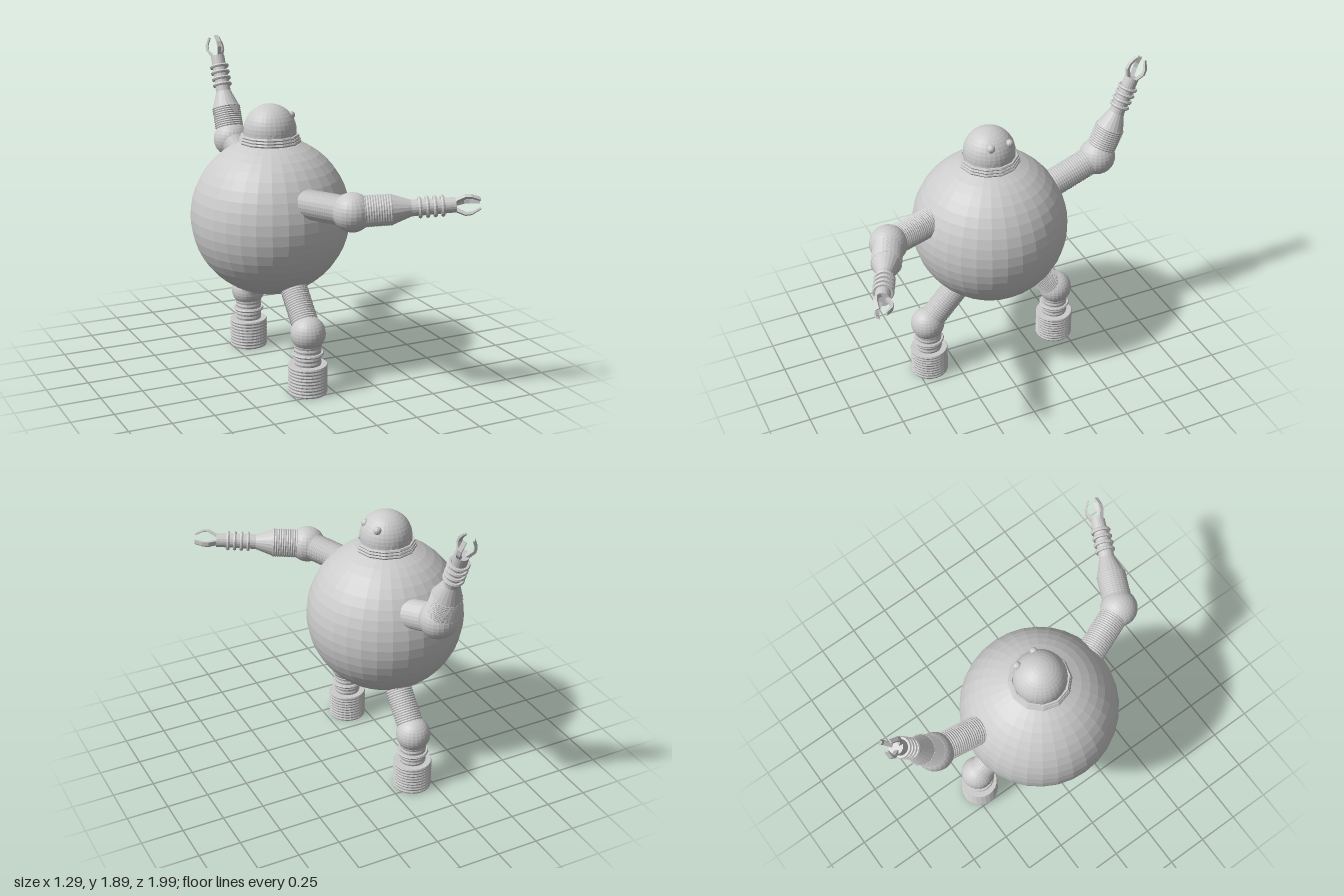
import * as THREE from 'three';

const V = (x, y, z) => new THREE.Vector3(x, y, z);
const flat = new THREE.MeshStandardMaterial({ color: 0xcccccc, flatShading: true, side: THREE.DoubleSide });

function add(parent, name, geometry, position = V(0, 0, 0)) {
  const mesh = new THREE.Mesh(geometry, flat);
  mesh.name = name;
  mesh.position.copy(position);
  parent.add(mesh);
  return mesh;
}

const ball = (r, w = 24, h = 16) => new THREE.SphereGeometry(r, w, h);

// closed, finely ridged tube standing on y = 0
function ribbed(r, length, pitch = 0.014, depth = 0.004, sides = 24) {
  const points = [new THREE.Vector2(0, 0)];
  const n = Math.round(length / pitch);
  for (let i = 0; i <= n; i++) {
    const y = (i / n) * length;
    points.push(new THREE.Vector2(r - depth, y));
    if (i < n) points.push(new THREE.Vector2(r, y + (0.5 * length) / n));
  }
  points.push(new THREE.Vector2(0, length));
  return new THREE.LatheGeometry(points, sides);
}

// group whose y axis runs from one point towards another, z axis near "facing"
function along(name, from, to, facing) {
  const group = new THREE.Group();
  group.name = name;
  const y = to.clone().sub(from).normalize();
  const x = y.clone().cross(facing).normalize();
  const z = x.clone().cross(y);
  group.quaternion.setFromRotationMatrix(new THREE.Matrix4().makeBasis(x, y, z));
  group.position.copy(from);
  return group;
}

function ring(parent, name, r, tube, y, sides = 20) {
  add(parent, name, new THREE.TorusGeometry(r, tube, 6, sides), V(0, y, 0)).rotation.x = Math.PI / 2;
}

// hooked finger: profile in (outward, along), extruded to a flat bar
function fingerGeometry() {
  const outline = [[0.015, 0], [0.038, 0], [0.064, 0.05], [0.062, 0.085], [0.035, 0.135],
    [0.027, 0.13], [0.048, 0.083], [0.048, 0.055]].map(p => new THREE.Vector2(...p));
  const g = new THREE.ExtrudeGeometry(new THREE.Shape(outline), { depth: 0.024, bevelEnabled: false });
  return g.translate(0, 0, -0.012).rotateY(-Math.PI / 2);
}

function makeArm(name, shoulder, elbow, tip, thumb) {
  const arm = new THREE.Group();
  arm.name = name;
  const upper = along('upperArm', shoulder, elbow, thumb);
  add(upper, 'upperArmHose', ribbed(0.085, shoulder.distanceTo(elbow)));
  add(arm, 'elbow', ball(0.11), elbow);

  const fore = along('forearm', elbow, tip, thumb);
  const reach = elbow.distanceTo(tip);
  fore.scale.y = reach / 0.675;
  add(fore, 'cuff', ribbed(0.088, 0.15), V(0, 0.06, 0));
  add(fore, 'taper', new THREE.CylinderGeometry(0.046, 0.083, 0.1, 20), V(0, 0.26, 0));
  add(fore, 'wrist', new THREE.CylinderGeometry(0.042, 0.046, 0.24, 20), V(0, 0.425, 0));
  for (let i = 0; i < 4; i++) ring(fore, 'wristRing', 0.05, 0.011, 0.355 + i * 0.04);
  for (let i = 0; i < 3; i++) {
    add(fore, 'finger', fingerGeometry(), V(0, 0.54, 0)).rotation.y = (i * Math.PI * 2) / 3;
  }
  arm.add(upper, fore);
  return arm;
}

function makeLeg(name, side) {
  const leg = new THREE.Group();
  leg.name = name;
  const x = -0.14, zMid = -0.015;
  const hip = V(x, 0.63, zMid + side * 0.19);
  const knee = V(x, 0.36, zMid + side * 0.435);
  const thigh = along('thigh', hip, knee, V(0, 1, 0));
  add(thigh, 'thighHose', ribbed(0.08, hip.distanceTo(knee)));
  leg.add(thigh);
  add(leg, 'knee', ball(0.102), knee);

  // shin and boot hang straight down
  const foot = new THREE.Group();
  foot.name = 'lowerLeg';
  foot.position.set(x, 0, zMid + side * 0.432);
  add(foot, 'shin', ribbed(0.08, 0.18, 0.025), V(0, 0.15, 0));
  ring(foot, 'ankleRing', 0.084, 0.01, 0.24);
  add(foot, 'boot', ribbed(0.115, 0.175, 0.02));
  leg.add(foot);
  return leg;
}

export function createModel() {
  const model = new THREE.Group();
  model.name = 'roundRobot';
  const cx = -0.177, cz = -0.015;
  add(model, 'body', ball(0.467, 32, 24), V(cx, 0.957, cz));

  // head with stacked collar rings, looking towards +x
  const head = new THREE.Group();
  head.name = 'head';
  head.position.set(cx, 1.463, cz);
  add(head, 'dome', ball(0.153, 32, 20));
  add(head, 'neck', new THREE.CylinderGeometry(0.153, 0.153, 0.09, 24), V(0, -0.045, 0));
  [0.172, 0.168, 0.162].forEach((r, i) => ring(head, 'collarRing', r, 0.01, -0.062 + i * 0.016, 12));
  for (const [x, y, z] of [[0.1, 0.085, -0.082], [0.114, 0.085, 0.04]]) {
    add(head, 'eye', ball(0.024, 12, 8), V(x, y, z));
  }
  model.add(head);

  model.add(
    makeLeg('frontLeg', 1),
    makeLeg('backLeg', -1),
    makeArm('frontArm', V(-0.155, 1.11, 0.32), V(-0.005, 1.128, 0.69), V(0.63, 1.178, 0.975), V(0.42, 0, -0.9)),
    makeArm('raisedArm', V(-0.14, 1.14, -0.38), V(-0.135, 1.27, -0.705), V(-0.135, 1.875, -0.965), V(0, 0.4, 0.9)),
  );
  return model;
}
